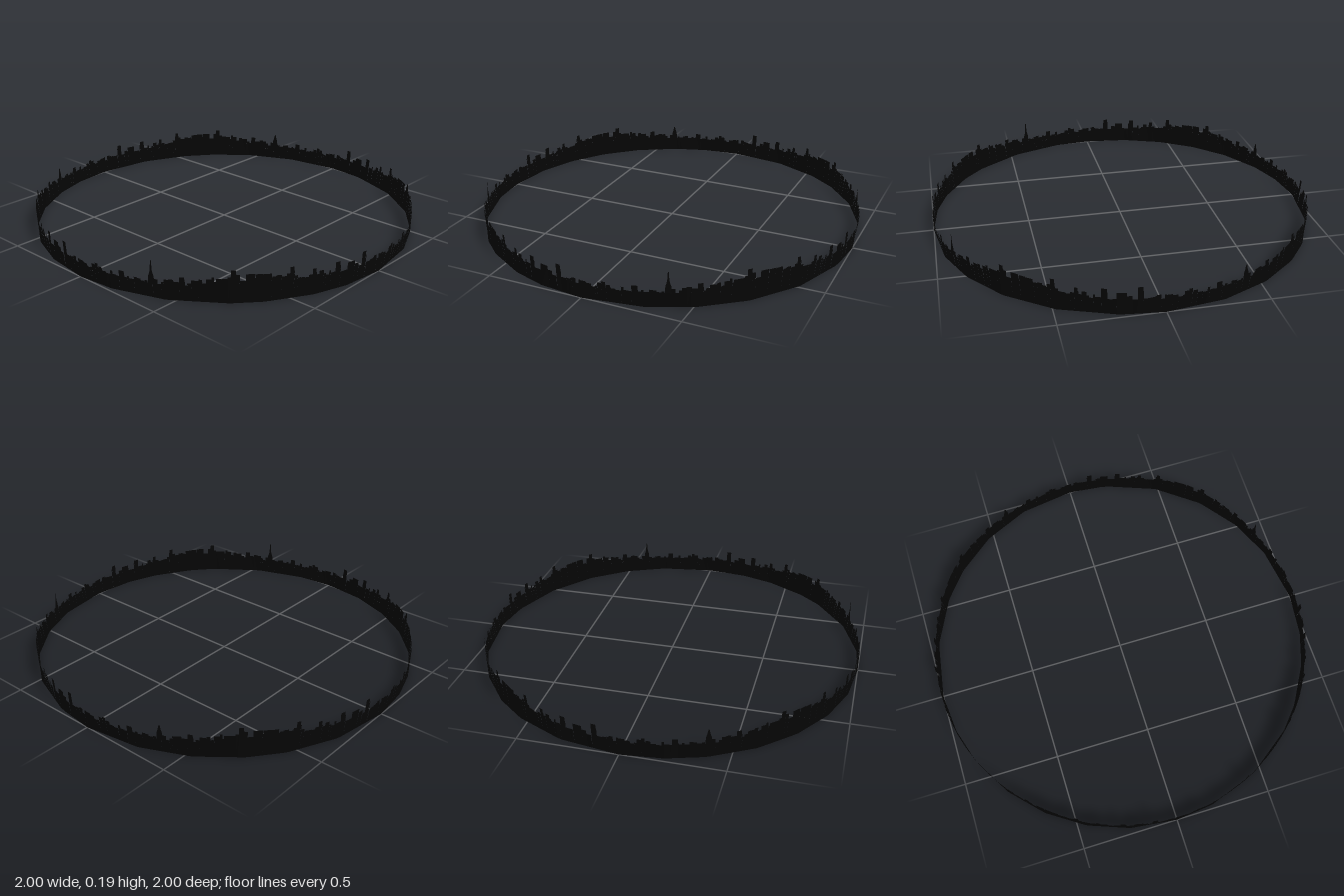
import * as THREE from 'three';

const RAD = Math.PI / 180;

// Corner angles of the coarse polygon the foot of the wall follows (0 = +z, 90 = +x)
const CORNERS = [0, 17, 30.5, 45, 61, 78, 90, 107, 122, 136, 147, 162.5, 180, 192, 203, 217,
  230, 243, 256, 270, 281.5, 297.5, 314, 323, 336.5, 347, 360];

// Typical roof height through one quarter of the city: [angle, height]
const ROOFLINE = [[0, 0.085], [10, 0.08], [20, 0.083], [30, 0.092], [37, 0.1], [41, 0.122],
  [50, 0.127], [58, 0.122], [66, 0.105], [75, 0.09], [90, 0.08]];

// Landmark towers in each quarter: [start angle, width, height]
const TOWERS = [[6, 1, 0.105], [14, 1.6, 0.105], [31, 1.4, 0.12], [36, 1, 0.115],
  [44.2, 1.3, 0.162], [48, 2.4, 0.142], [52.5, 2.2, 0.137], [59.6, 1.1, 0.158],
  [66, 1, 0.13], [73, 1.5, 0.135], [77, 2.6, 0.115], [82.4, 1.4, 0.142]];

const SPIRE_ANGLE = 23.5;
const SPIRE_HEIGHTS = [0.18, 0.15, 0.15, 0.187];

function seeded(seed) {
  return () => {
    seed = (seed * 16807) % 2147483647;
    return seed / 2147483647;
  };
}

function roofAt(a) {
  const i = Math.max(1, ROOFLINE.findIndex(([x]) => x >= a));
  const [a0, h0] = ROOFLINE[i - 1], [a1, h1] = ROOFLINE[i];
  return THREE.MathUtils.mapLinear(a, a0, a1, h0, h1);
}

const onCircle = (t, y) => new THREE.Vector3(Math.sin(t * RAD), y, Math.cos(t * RAD));

// Point on the straight foot edge below a given angle
function onFoot(t) {
  const i = Math.max(1, CORNERS.findIndex((c) => c >= t - 1e-6));
  const c0 = CORNERS[i - 1], c1 = CORNERS[i];
  return onCircle(c0, 0).lerp(onCircle(c1, 0), (t - c0) / (c1 - c0));
}

// One quarter as a row of buildings: [start, end, height]
function makeBuildings() {
  const rand = seeded(4711);
  const row = [];
  const fillTo = (from, to) => {
    while (from < to - 1e-6) {
      let next = from + 0.35 + rand() * 1.3;
      if (to - next < 0.35) next = to;
      const h = roofAt((from + next) / 2) + (rand() - 0.5) * 0.03;
      row.push([from, next, h]);
      from = next;
    }
  };
  let a = 0;
  for (const [start, width, h] of TOWERS) {
    fillTo(a, start);
    a = start + width;
    row.push([start, a, h]);
    // Narrow roof mast beside the tower
    row.push([a, a + 0.2, h - 0.02]);
    a += 0.2;
  }
  fillTo(a, 90);
  return row;
}

function skylineGeometry(buildings, quarter) {
  const pos = [];
  const offset = quarter * 90;
  const add = (...pts) => pts.forEach((p) => pos.push(p.x, p.y, p.z));
  for (const [a0, a1, h] of buildings) {
    const t0 = a0 + offset, t1 = a1 + offset;
    const b0 = onFoot(t0), b1 = onFoot(t1);
    const c0 = onCircle(t0, h), c1 = onCircle(t1, h);
    add(b0, b1, c1, b0, c1, c0);
  }
  // Stepped spire rising to a needle
  const top = SPIRE_HEIGHTS[quarter], t = SPIRE_ANGLE + offset;
  const steps = [[0.9, 0.07], [0.75, 0.11], [0.45, 0.125], [0.28, 0.14], [0.12, top]];
  for (let i = 1; i < steps.length; i++) {
    const [w0, y0] = steps[i - 1], [w1, y1] = steps[i];
    const l0 = onCircle(t - w0, y0), r0 = onCircle(t + w0, y0);
    const l1 = onCircle(t - w1, y1), r1 = onCircle(t + w1, y1);
    add(l0, r0, r1, l0, r1, l1);
  }
  const geo = new THREE.BufferGeometry();
  geo.setAttribute('position', new THREE.Float32BufferAttribute(pos, 3));
  geo.computeVertexNormals();
  return geo;
}

export function createModel() {
  const group = new THREE.Group();
  group.name = 'skylineRing';
  const material = new THREE.MeshStandardMaterial({ color: 0x050505, side: THREE.DoubleSide });
  const buildings = makeBuildings();
  // Four quarters of the same skyline close the ring
  for (let q = 0; q < 4; q++) {
    const mesh = new THREE.Mesh(skylineGeometry(buildings, q), material);
    mesh.name = `skylineQuarter${q + 1}`;
    group.add(mesh);
  }
  return group;
}
